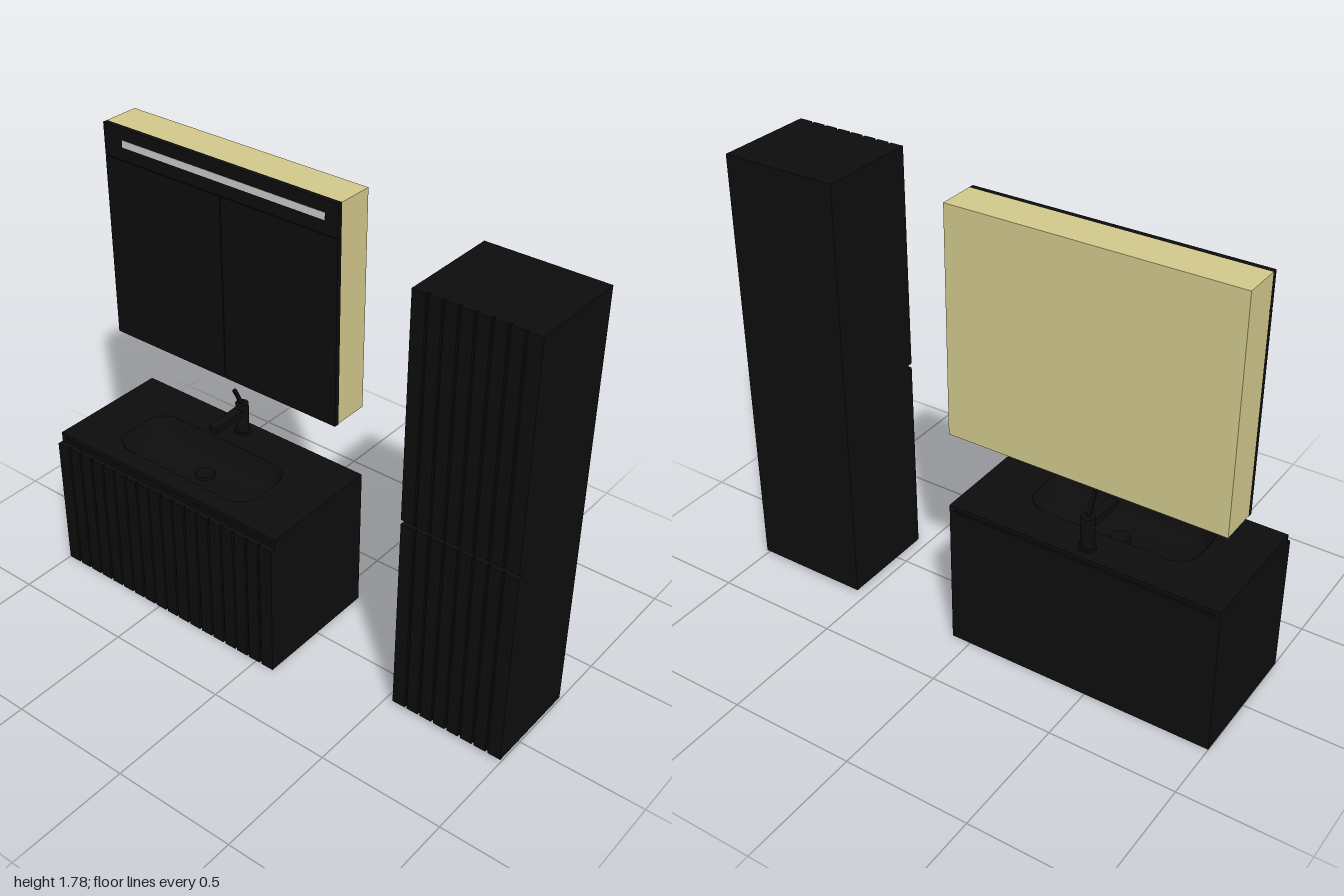
import * as THREE from 'three';
import { toCreasedNormals } from 'three/addons/utils/BufferGeometryUtils.js';

const black = new THREE.MeshStandardMaterial({ color: 0x0d0d0d });
const blackThin = new THREE.MeshStandardMaterial({ color: 0x0d0d0d, side: THREE.DoubleSide });
const beige = new THREE.MeshStandardMaterial({ color: 0xd2c88c });
const grey = new THREE.MeshStandardMaterial({ color: 0xcccccc });

function add(parent, name, geometry, material = black) {
  const mesh = new THREE.Mesh(geometry, material);
  mesh.name = name;
  parent.add(mesh);
  return mesh;
}

// Box given by its limits on each axis
function box(parent, name, x0, x1, y0, y1, z0, z1, material = black) {
  const mesh = add(parent, name, new THREE.BoxGeometry(x1 - x0, y1 - y0, z1 - z0), material);
  mesh.position.set((x0 + x1) / 2, (y0 + y1) / 2, (z0 + z1) / 2);
  return mesh;
}

// Plan outline raised from y0 to y1 (shape y is -z)
function raise(shape, y0, y1) {
  const g = new THREE.ExtrudeGeometry(shape, { depth: y1 - y0, bevelEnabled: false });
  return g.rotateX(-Math.PI / 2).translate(0, y0, 0);
}

// Door panel with narrow vertical grooves between its slats
function flutedPanel(parent, name, x0, x1, y0, y1, z0, z1, slats) {
  const pitch = (x1 - x0) / slats, half = 0.005, depth = 0.01;
  const s = new THREE.Shape();
  s.moveTo(x0, -z1);
  for (let i = 1; i < slats; i++) {
    const x = x0 + i * pitch;
    s.lineTo(x - half, -z1);
    s.lineTo(x - half, -z1 + depth);
    s.lineTo(x + half, -z1 + depth);
    s.lineTo(x + half, -z1);
  }
  s.lineTo(x1, -z1);
  s.lineTo(x1, -z0);
  s.lineTo(x0, -z0);
  s.closePath();
  return add(parent, name, raise(s, y0, y1));
}

// Rounded rectangle as plan points around a centre
function roundedRing(cx, cz, hx, hz, r, steps = 8) {
  const pts = [];
  [[1, 1], [-1, 1], [-1, -1], [1, -1]].forEach(([sx, sz], q) => {
    for (let i = 0; i <= steps; i++) {
      const a = (q + i / steps) * Math.PI / 2;
      pts.push(new THREE.Vector2(cx + sx * (hx - r) + r * Math.cos(a), cz + sz * (hz - r) + r * Math.sin(a)));
    }
  });
  return pts;
}

// Skin through rounded rings [halfX, halfZ, radius, y]
function loft(cx, cz, rings) {
  const pos = [], idx = [];
  let n = 0;
  rings.forEach(([hx, hz, r, y]) => {
    const ring = roundedRing(cx, cz, hx, hz, r);
    n = ring.length;
    ring.forEach(p => pos.push(p.x, y, p.y));
  });
  for (let k = 0; k < rings.length - 1; k++) {
    for (let i = 0; i < n; i++) {
      const a = k * n + i, b = k * n + (i + 1) % n;
      idx.push(a, b, a + n, b, b + n, a + n);
    }
  }
  const g = new THREE.BufferGeometry();
  g.setAttribute('position', new THREE.Float32BufferAttribute(pos, 3));
  g.setIndex(idx);
  return toCreasedNormals(g, 0.7);
}

function mirrorCabinet() {
  const g = new THREE.Group();
  g.name = 'mirrorCabinet';
  const x0 = -1, x1 = 0.075, mid = -0.445, z0 = -0.122, z1 = -0.102;
  box(g, 'cabinetBody', x0, x1, 0.908, 1.78, -0.265, -0.122, beige);
  box(g, 'leftMirrorDoor', mid + 0.002, x1, 0.905, 1.65, z0, z1);
  box(g, 'rightMirrorDoor', x0, mid - 0.002, 0.905, 1.65, z0, z1);
  box(g, 'topMirrorPanel', x0, x1, 1.654, 1.78, z0, z1);
  box(g, 'lightStrip', -0.91, 0.02, 1.705, 1.733, z0, z1 + 0.001, grey);
  return g;
}

function tallCabinet() {
  const g = new THREE.Group();
  g.name = 'tallCabinet';
  box(g, 'tallBody', 0.535, 1, 0.015, 1.73, -0.268, 0.11);
  flutedPanel(g, 'lowerDoor', 0.535, 1, 0.015, 0.83, 0.11, 0.13, 8);
  flutedPanel(g, 'upperDoor', 0.535, 1, 0.848, 1.73, 0.11, 0.13, 8);
  return g;
}

function vanity() {
  const g = new THREE.Group();
  g.name = 'vanity';
  const x0 = -1, x1 = 0.08, zb = -0.265, zf = 0.245;
  // Open-topped carcass
  box(g, 'vanityBottom', x0, x1, 0, 0.02, zb, zf);
  box(g, 'vanityBack', x0 + 0.02, x1 - 0.02, 0.02, 0.58, zb, zb + 0.02);
  box(g, 'vanityFrontRail', x0 + 0.02, x1 - 0.02, 0.02, 0.58, zf - 0.02, zf);
  box(g, 'rightSide', x0, x0 + 0.02, 0.02, 0.59, zb, zf);
  box(g, 'leftSide', x1 - 0.02, x1, 0.02, 0.59, zb, zf);
  flutedPanel(g, 'drawerFront', x0, x1, 0, 0.565, zf, 0.268, 18);

  // Worktop with the basin opening
  const cx = -0.465, cz = 0.03;
  const top = new THREE.Shape([[x0, -zf], [x1, -zf], [x1, -zb], [x0, -zb]].map(p => new THREE.Vector2(...p)));
  top.holes.push(new THREE.Path(roundedRing(cx, -cz, 0.335, 0.14, 0.09).reverse()));
  add(g, 'worktop', raise(top, 0.588, 0.605));

  // Basin: inside down to the floor, then the outer shell
  add(g, 'basin', loft(cx, cz, [
    [0.335, 0.14, 0.09, 0.605], [0.328, 0.133, 0.085, 0.597], [0.315, 0.122, 0.08, 0.55],
    [0.295, 0.105, 0.075, 0.525], [0.26, 0.08, 0.06, 0.515], [0.03, 0.02, 0.02, 0.51], [0.001, 0.001, 0.001, 0.51],
  ]), blackThin);
  add(g, 'basinShell', loft(cx, cz, [
    [0.365, 0.17, 0.1, 0.59], [0.36, 0.165, 0.1, 0.55], [0.32, 0.13, 0.09, 0.505],
    [0.27, 0.09, 0.07, 0.495], [0.001, 0.001, 0.001, 0.495],
  ]), blackThin);
  const drain = add(g, 'drain', new THREE.CylinderGeometry(0.036, 0.04, 0.012, 32));
  drain.position.set(cx, 0.517, 0.01);
  return g;
}

function faucet() {
  const g = new THREE.Group();
  g.name = 'faucet';
  const flange = add(g, 'faucetFlange', new THREE.CylinderGeometry(0.033, 0.033, 0.01, 32));
  flange.position.y = 0.005;
  const body = add(g, 'faucetBody', new THREE.CylinderGeometry(0.026, 0.026, 0.13, 32));
  body.position.y = 0.067;
  // Flat spout reaching over the basin
  const spout = box(g, 'spout', -0.02, 0.02, 0.085, 0.11, 0, 0.17);
  spout.rotation.x = 0.05;
  // Thin lever leaning forward
  const lever = box(g, 'lever', -0.006, 0.006, 0.125, 0.215, 0.015, 0.029);
  lever.rotation.x = 0.45;
  g.position.set(-0.457, 0.605, -0.205);
  return g;
}

export function createModel() {
  const model = new THREE.Group();
  model.name = 'bathroomFurniture';
  model.add(mirrorCabinet(), tallCabinet(), vanity(), faucet());
  return model;
}
